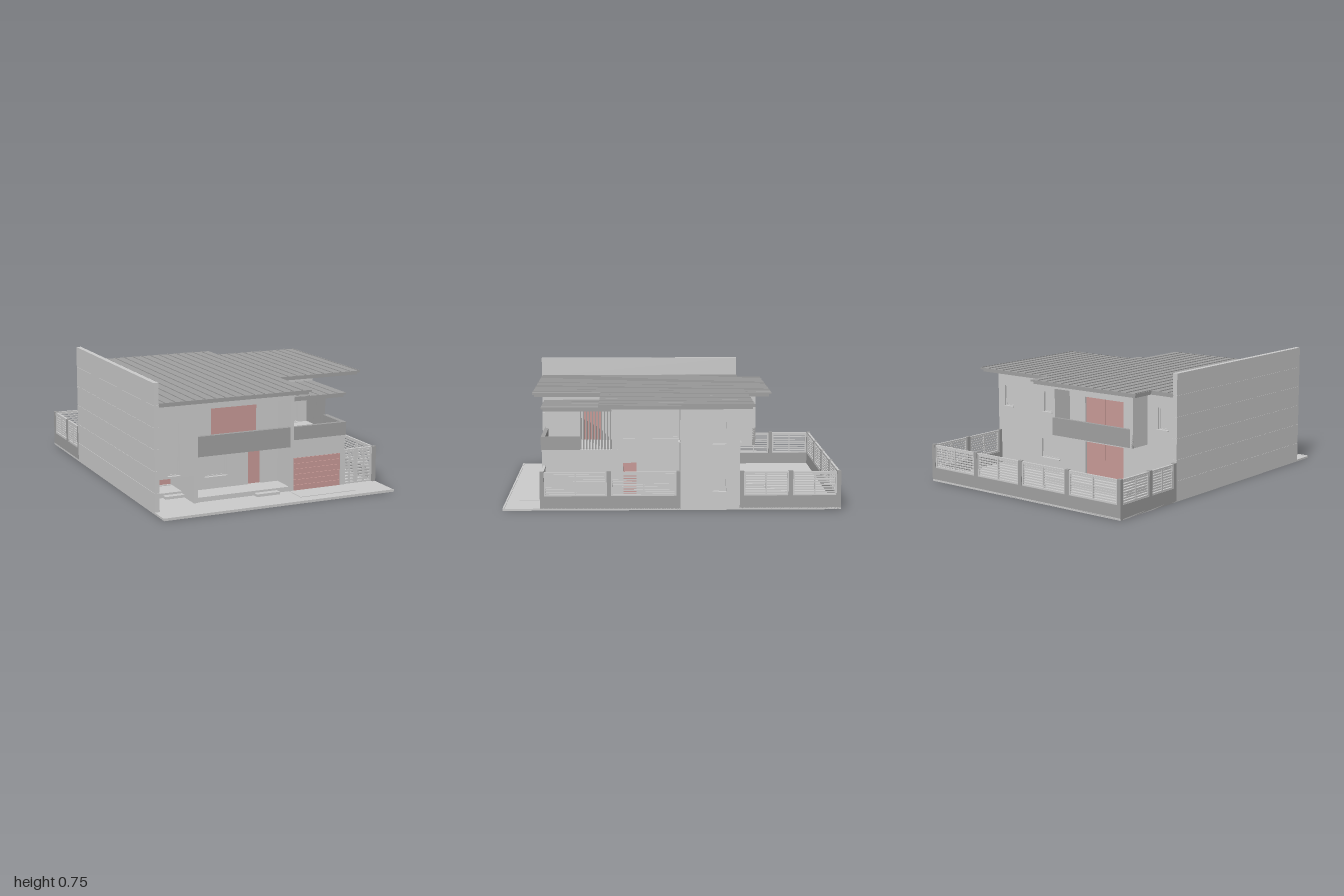
import * as THREE from 'three';

const GREY = 0xcccccc, RED = 0xc89a97, DARK = 0xa0a0a0;
const mats = {};
const mat = (c) => (mats[c] ??= new THREE.MeshStandardMaterial({ color: c }));

export function createModel() {
  const house = new THREE.Group();
  house.name = 'house';

  function add(name, geo, color = GREY, parent = house) {
    const m = new THREE.Mesh(geo, mat(color));
    m.name = name;
    parent.add(m);
    return m;
  }
  // Box from its limits on each axis
  function box(name, x0, x1, y0, y1, z0, z1, color, parent) {
    const m = add(name, new THREE.BoxGeometry(x1 - x0, y1 - y0, z1 - z0), color, parent);
    m.position.set((x0 + x1) / 2, (y0 + y1) / 2, (z0 + z1) / 2);
    return m;
  }
  // Box placed along a wall: u runs on the wall axis, w across it
  function along(axis, name, u0, u1, y0, y1, w0, w1, color, parent) {
    return axis === 'x' ? box(name, u0, u1, y0, y1, w0, w1, color, parent)
      : box(name, w0, w1, y0, y1, u0, u1, color, parent);
  }
  // Wall with real openings; face is its outer plane, dir the outward sign.
  // Each opening is [u0, u1, y0, y1, kind]
  function wall(name, axis, u0, u1, y0, y1, face, dir, openings = [], t = 0.025) {
    const rect = (P, a, b, c, d) => {
      const p = new P();
      p.moveTo(a, c); p.lineTo(b, c); p.lineTo(b, d); p.lineTo(a, d); p.closePath();
      return p;
    };
    const s = rect(THREE.Shape, u0, u1, y0, y1);
    for (const [a, b, c, d] of openings) s.holes.push(rect(THREE.Path, a, b, c, d));
    const g = new THREE.ExtrudeGeometry(s, { depth: t, bevelEnabled: false });
    const lo = dir > 0 ? face - t : face;
    if (axis === 'x') g.translate(0, 0, lo);
    else g.rotateY(-Math.PI / 2).translate(lo + t, 0, 0);
    add(name, g);
    for (const [a, b, c, d, kind] of openings) {
      const w = face - dir * 0.016;
      const door = kind === 'door';
      along(axis, door ? 'door' : 'windowPane', a, b, c, d, w - 0.003, w + 0.003, door ? RED : GREY);
      if (door) {
        const mid = (a + b) / 2;
        if (b - a > 0.2) along(axis, 'doorStile', mid - 0.003, mid + 0.003, c, d, w - 0.006, w + 0.006, RED);
        continue;
      }
      const f = 0.006;
      for (const [p, q, r, v] of [[a, a + f, c, d], [b - f, b, c, d], [a, b, c, c + f], [a, b, d - f, d]])
        along(axis, 'windowFrame', p, q, r, v, w - 0.007, w + 0.007);
      const o = [face - dir * 0.012, face + dir * 0.012].sort((p, q) => p - q);
      along(axis, 'windowSill', a - 0.003, b + 0.003, c - 0.006, c, o[0], o[1]);
    }
  }

  // Ground
  box('groundSlab', -0.785, 0.70, 0, 0.012, -1, 1);
  box('frontKerb', -0.785, 0.70, 0.012, 0.015, 0.99, 1);
  box('driveway', 0.11, 0.48, 0.012, 0.015, 0.78, 0.92);
  box('porchFloor', -0.51, 0.11, 0.012, 0.04, 0.59, 0.77);
  box('porchStep', -0.12, 0.03, 0.012, 0.028, 0.77, 0.81);
  box('passageFloor', -0.755, -0.51, 0.012, 0.04, -0.4, 0.6);
  box('passageStep', -0.63, -0.51, 0.012, 0.028, 0.6, 0.64);
  box('backPatio', -0.51, 0.115, 0.012, 0.04, -0.6, -0.4);

  // Boundary wall laid in courses
  box('boundaryWallCore', -0.783, -0.757, 0, 0.753, -0.478, 0.858);
  for (let i = 0; i < 6; i++) {
    const h = 0.755 / 6;
    box('boundaryWallCourse', -0.785, -0.755, i * h, (i + 1) * h - (i < 5 ? 0.003 : 0), -0.48, 0.86);
  }

  // Back and wing walls
  const up = [0.395, 0.525], low = [0.11, 0.24];
  wall('backWall', 'x', -0.755, 0.70, 0.012, 0.61, -0.40, -1, [
    [-0.665, -0.59, ...up], [0.24, 0.31, ...up], [0.57, 0.645, ...up], [0.18, 0.33, 0.1, 0.22],
    [-0.33, -0.03, 0.31, 0.525, 'door'], [-0.33, -0.03, 0.04, 0.245, 'door']]);
  wall('wingSideWall', 'z', -0.375, -0.05, 0.012, 0.61, 0.70, 1, [[-0.32, -0.24, ...up], [-0.32, -0.24, ...low]]);
  wall('wingFrontWall', 'x', 0.48, 0.675, 0.012, 0.61, -0.05, 1, [[0.55, 0.62, ...up]]);

  // Right side walls, lower and upper storey
  wall('sideWallLower', 'z', -0.05, 0.78, 0.012, 0.325, 0.48, 1,
    [[-0.05 + 0.002, 0.11, ...low], [0.21, 0.29, 0.04, 0.245, 'door'], [0.45, 0.59, 0.13, 0.22]]);
  wall('sideWallUpper', 'z', -0.05, 0.36, 0.325, 0.61, 0.48, 1, [[-0.045, 0.11, ...up], [0.22, 0.29, ...up]]);
  wall('terraceBackWall', 'x', 0.11, 0.455, 0.325, 0.61, 0.36, 1, [[0.2, 0.38, 0.33, 0.525]]);

  // Front facade behind the porch and balcony
  wall('frontWall', 'x', -0.51, 0.11, 0.012, 0.61, 0.62, 1, [
    [-0.37, -0.23, 0.115, 0.245], [-0.09, -0.005, 0.04, 0.245, 'door'], [-0.33, -0.03, 0.31, 0.525, 'door']]);
  box('porchLeftWall', -0.51, -0.485, 0.012, 0.61, -0.37, 0.78);
  wall('porchRightWall', 'z', 0.335, 0.78, 0.012, 0.61, 0.135, 1, [[0.43, 0.54, 0.33, 0.53, 'door']]);
  box('frontLintel', -0.485, 0.11, 0.57, 0.61, 0.755, 0.78);
  box('frontBalconyFloor', -0.485, 0.11, 0.285, 0.31, 0.62, 0.76);
  box('frontBalconyParapet', -0.485, 0.11, 0.285, 0.405, 0.76, 0.785, DARK);

  // Bay over the side passage
  wall('bayFrontWall', 'x', -0.755, -0.51, 0.175, 0.61, 0.78, 1, [[-0.67, -0.6, 0.19, 0.5]]);
  box('bayFloor', -0.755, -0.51, 0.175, 0.195, -0.37, 0.755);
  wall('passageWall', 'x', -0.64, -0.51, 0.04, 0.175, 0.45, 1, [[-0.61, -0.515, 0.045, 0.172, 'door']]);
  box('passageSideWall', -0.64, -0.62, 0.04, 0.175, -0.37, 0.425);

  // Garage front and boarded door
  wall('garageFront', 'x', 0.135, 0.455, 0.215, 0.325, 0.78, 1);
  box('garageDoor', 0.135, 0.455, 0.012, 0.215, 0.755, 0.77, RED);
  for (let i = 0; i < 6; i++)
    box('garageDoorBoard', 0.14, 0.45, 0.016 + i * 0.033, 0.046 + i * 0.033, 0.77, 0.776, RED);

  // Terrace above the garage
  box('terraceFloor', 0.135, 0.455, 0.31, 0.328, 0.36, 0.76);
  box('terraceFrontParapet', 0.135, 0.48, 0.325, 0.405, 0.76, 0.785, DARK);
  box('terraceSideParapet', 0.455, 0.485, 0.325, 0.405, 0.55, 0.785, DARK);
  for (let i = 0; i < 11; i++) {
    const z = 0.362 + i * 0.018;
    box('terraceScreenFin', 0.44, 0.47, 0.325, 0.56, z, z + 0.007, DARK);
  }
  box('terraceCanopyFascia', 0.135, 0.47, 0.557, 0.572, 0.36, 0.772, DARK);
  box('terraceCanopy', 0.135, 0.48, 0.572, 0.584, 0.36, 0.783, DARK);
  for (let x = 0.17; x < 0.48; x += 0.062) box('canopySeam', x, x + 0.004, 0.584, 0.588, 0.36, 0.783, DARK);

  // Back balcony
  box('backBalconyFloor', -0.51, 0.115, 0.29, 0.31, -0.52, -0.40);
  box('backBalconyParapet', -0.51, 0.115, 0.29, 0.40, -0.54, -0.52, DARK);
  for (const x of [-0.51, 0.095]) box('backBalconySide', x, x + 0.02, 0.29, 0.61, -0.54, -0.40);
  box('backBalconyLintel', -0.49, 0.095, 0.58, 0.61, -0.54, -0.52);

  // Roof: two stacked slabs with standing seams
  function roofSlab(name, d, y, h) {
    const pts = [[-0.755, 0.855 - d], [0.21 - d, 0.855 - d], [0.21 - d, 0.43 - d], [0.78 - d, 0.43 - d],
      [0.78 - d, -0.48 + d], [0.21 - d, -0.48 + d], [0.21 - d, -0.63 + d], [-0.6 + d, -0.63 + d],
      [-0.6 + d, -0.48 + d], [-0.755, -0.48 + d]];
    const s = new THREE.Shape(pts.map(([x, z]) => new THREE.Vector2(x, -z)));
    const g = new THREE.ExtrudeGeometry(s, { depth: h, bevelEnabled: false });
    add(name, g.rotateX(-Math.PI / 2).translate(0, y, 0), DARK);
  }
  roofSlab('roofFascia', 0.013, 0.61, 0.015);
  roofSlab('roofSheet', 0, 0.625, 0.011);
  for (let x = -0.72; x < 0.77; x += 0.062) {
    const z0 = x > -0.6 && x < 0.205 ? -0.63 : -0.48;
    box('roofSeam', x, x + 0.004, 0.636, 0.641, z0, x < 0.205 ? 0.855 : 0.43, DARK);
  }

  // Louvred fences: base, posts and slatted panels between the posts
  function louvres(axis, u0, u1, y0, y1, w0, w1, n) {
    const f = 0.01;
    along(axis, 'fenceFrame', u0, u0 + f, y0, y1, w0, w1);
    along(axis, 'fenceFrame', u1 - f, u1, y0, y1, w0, w1);
    along(axis, 'fenceMullion', (u0 + u1) / 2 - 0.004, (u0 + u1) / 2 + 0.004, y0, y1, w0, w1);
    along(axis, 'fenceRail', u0, u1, y0, y0 + f, w0, w1);
    along(axis, 'fenceRail', u0, u1, y1 - f, y1, w0, w1);
    const step = (y1 - y0 - 2 * f) / n;
    for (let i = 0; i < n; i++) {
      const y = y0 + f + (i + 0.25) * step;
      along(axis, 'fenceSlat', u0 + f, u1 - f, y, y + step * 0.6, w0 + 0.004, w1 - 0.004);
    }
  }
  function fence(axis, posts, w0, w1) {
    const p = 0.025;
    along(axis, 'fenceBase', posts[0], posts.at(-1) + p, 0, 0.085, w0, w1, DARK);
    posts.forEach((u, i) => {
      along(axis, 'fencePost', u, u + p, 0.085, 0.232, w0, w1, DARK);
      if (i) louvres(axis, posts[i - 1] + p, u, 0.085, 0.228, w0 + 0.005, w1 - 0.005, 8);
    });
  }
  fence('z', [-0.05, 0.36, 0.755], 0.677, 0.70);
  fence('z', [-1, -0.715, -0.425], 0.677, 0.70);
  fence('z', [-1, -0.735, -0.505], -0.785, -0.762);
  fence('x', [-0.785, -0.405, -0.045, 0.315, 0.675], -1, -0.977);

  // Side gate beside the garage
  louvres('x', 0.48, 0.562, 0.015, 0.23, 0.757, 0.773, 10);
  louvres('x', 0.567, 0.675, 0.015, 0.23, 0.757, 0.773, 10);

  return house;
}
